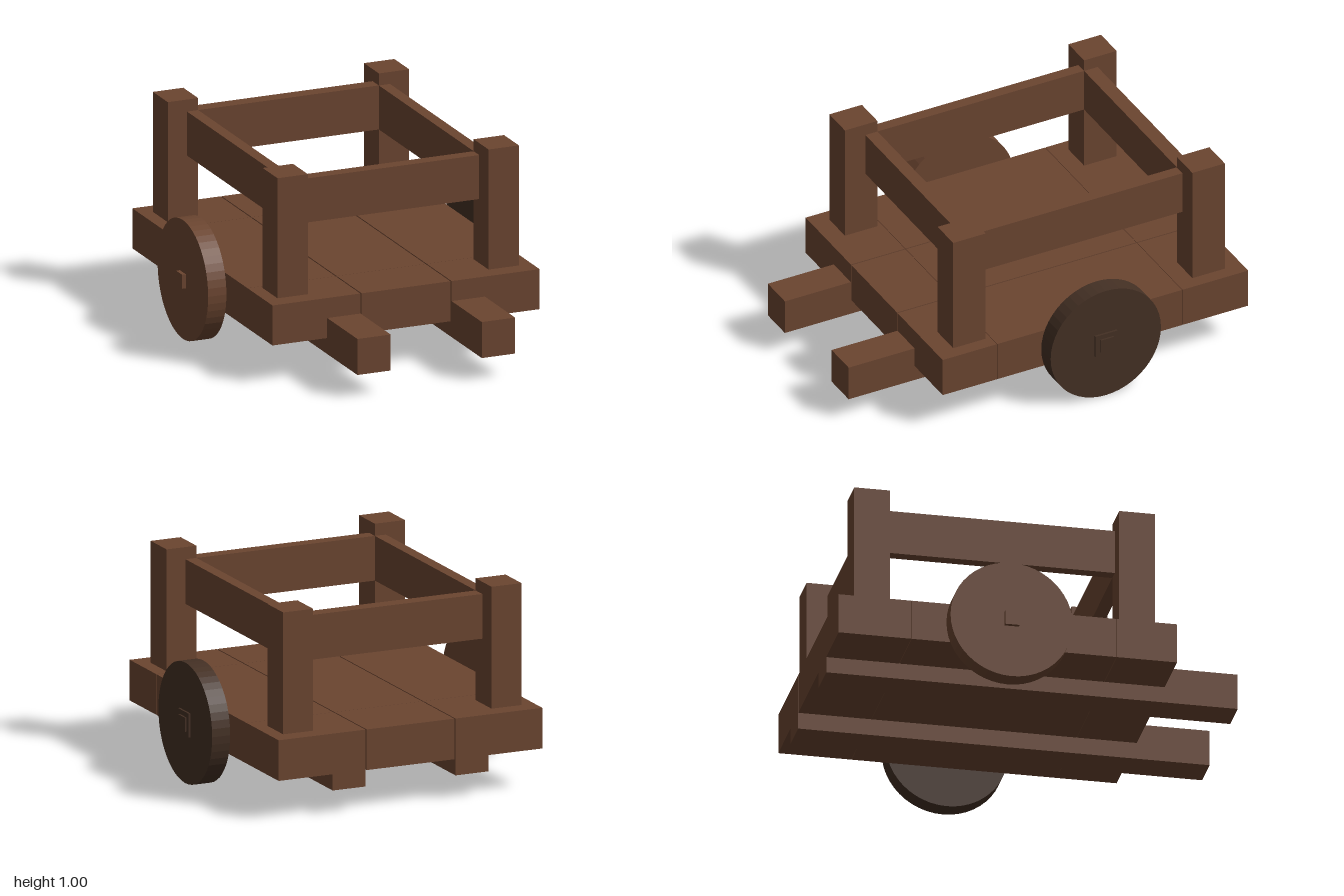
import * as THREE from 'three';

export function createModel() {
  const cart = new THREE.Group();
  cart.name = 'cart';
  const wood = new THREE.MeshStandardMaterial({ color: 0x6b4530, flatShading: true });
  const darkWood = new THREE.MeshStandardMaterial({ color: 0x443024, flatShading: true });

  const add = (name, geometry, material = wood) => {
    const mesh = new THREE.Mesh(geometry, material);
    mesh.name = name;
    cart.add(mesh);
    return mesh;
  };
  // Box given by its limits along each axis
  const box = (name, [x0, x1], [y0, y1], [z0, z1], material) =>
    add(name, new THREE.BoxGeometry(x1 - x0, y1 - y0, z1 - z0), material)
      .position.set((x0 + x1) / 2, (y0 + y1) / 2, (z0 + z1) / 2);

  // Deck: three boards wide and three long, with fine joints
  const xs = [-0.695, -0.234, 0.234, 0.695];
  const zs = [-1, -0.645, 0.352, 0.645];
  const gapX = 0.003, gapZ = 0.001;
  for (let i = 0; i < 3; i++) {
    for (let k = 0; k < 3; k++) {
      box('deckBoard',
        [xs[i] + (i > 0 ? gapX : 0), xs[i + 1] - (i < 2 ? gapX : 0)], [0.2, 0.4],
        [zs[k] + (k > 0 ? gapZ : 0), zs[k + 1] - (k < 2 ? gapZ : 0)]);
    }
  }

  for (const s of [-1, 1]) {
    const span = (a, b) => (s > 0 ? [a, b] : [-b, -a]);
    // Long beam under the deck, running out to the front as a shaft
    box('beam', span(0.237, 0.41), [0.12, 0.3], [-1, 1]);
    // Corner posts
    box('frontPost', span(0.47, 0.628), [0.4, 1], [0.378, 0.553]);
    box('backPost', span(0.47, 0.628), [0.4, 1], [-0.91, -0.735]);
    // Side rail
    box('sideRail', span(0.47, 0.528), [0.72, 0.94], [-0.735, 0.378]);

    // Solid wheel and its square hub pieces
    const material = s > 0 ? darkWood : wood;
    const wheel = add('wheel', new THREE.CylinderGeometry(0.297, 0.297, 0.095, 48), material);
    wheel.rotation.z = Math.PI / 2;
    wheel.position.set(s * 0.748, 0.3, -0.18);
    box('axleEnd', span(0.69, 0.815), [0.266, 0.336], [-0.215, -0.145], material);
    if (s > 0) box('hubPlate', [0.78, 0.806], [0.242, 0.36], [-0.238, -0.12], material);
  }

  // Cross rails
  box('frontRail', [-0.47, 0.47], [0.72, 0.94], [0.378, 0.443]);
  box('backRail', [-0.47, 0.47], [0.72, 0.94], [-0.808, -0.735]);

  return cart;
}
